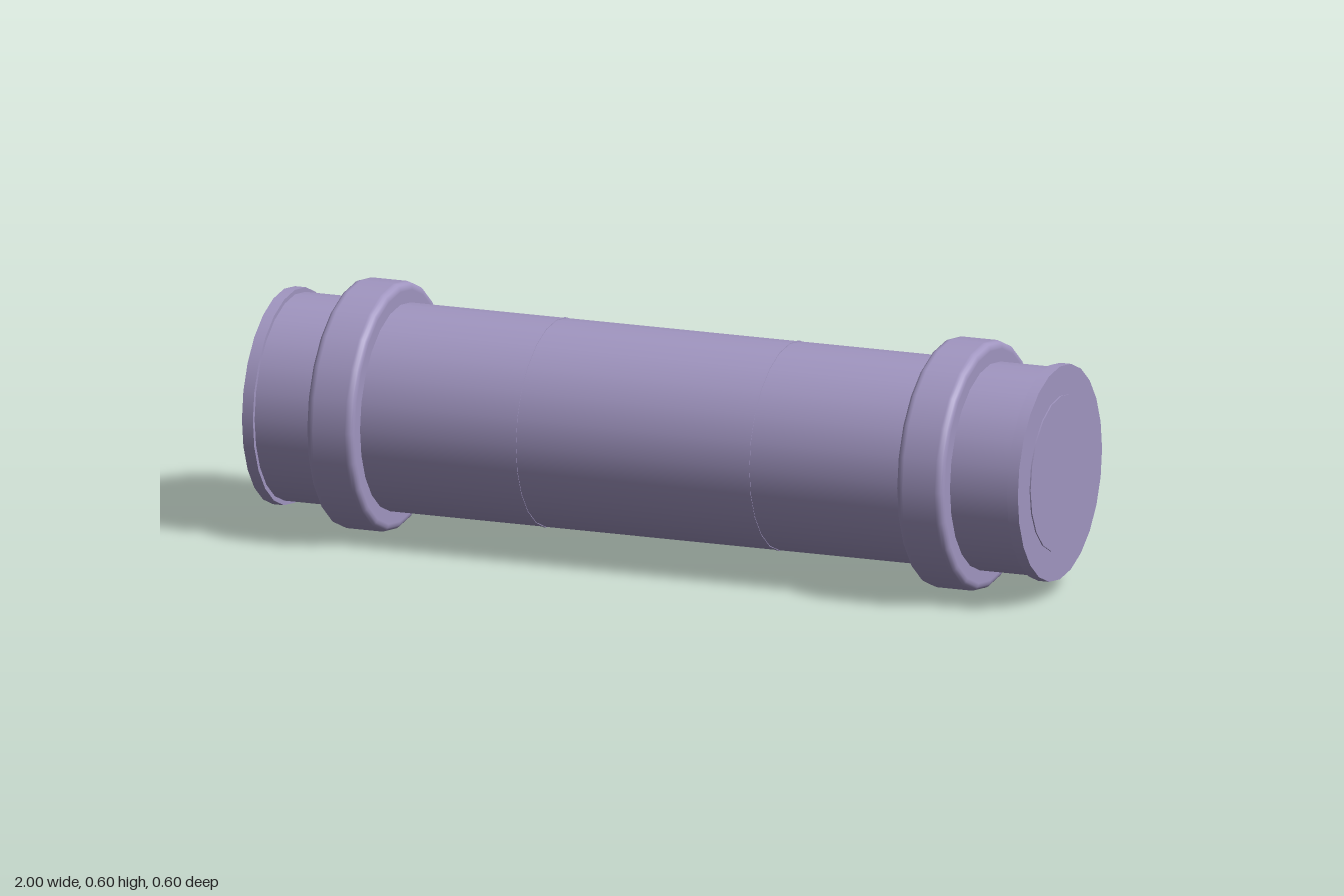
import * as THREE from 'three';

const RADIUS = 0.299; // collar radius, also the height of the centre line
const SIDES = 24;

export function createModel() {
  const group = new THREE.Group();
  group.name = 'pipe';
  const lilac = new THREE.MeshStandardMaterial({ color: 0xa196c1 });
  lilac.name = 'lilac';

  // Places a geometry made round the y axis along the x axis
  function add(name, geometry, x) {
    geometry.rotateZ(-Math.PI / 2);
    const mesh = new THREE.Mesh(geometry, lilac);
    mesh.name = name;
    mesh.position.set(x, RADIUS, 0);
    group.add(mesh);
  }
  const drum = (radius, length, sides = SIDES) =>
    new THREE.CylinderGeometry(radius, radius, length, sides);

  // Collar: a band with rounded rims
  function collar() {
    const half = 0.06, round = 0.016, rim = [];
    for (let i = 0; i <= 4; i++) {
      const a = (i / 4) * Math.PI / 2;
      rim.push([RADIUS - round + round * Math.sin(a), half - round + round * Math.cos(a)]);
    }
    const upper = [[0.23, half], [RADIUS - round - 0.003, half], ...rim, [RADIUS, half - round - 0.003]];
    const lower = upper.map(([r, y]) => [r, -y]);
    const points = [...lower, ...upper.reverse()].map(([r, y]) => new THREE.Vector2(r, y));
    return new THREE.LatheGeometry(points, SIDES);
  }

  add('body', drum(0.249, 1.96), 0);

  for (const [side, s] of [['left', 1], ['right', -1]]) {
    add(side + 'Seam', drum(0.2505, 0.006), s * 0.3);
    add(side + 'Collar', collar(), s * 0.758);
    add(side + 'EndFlange', drum(0.26, 0.028), s * 0.983);
    add(side + 'EndDisc', drum(0.188, 0.02, 20), s * 0.99);
  }
  return group;
}
